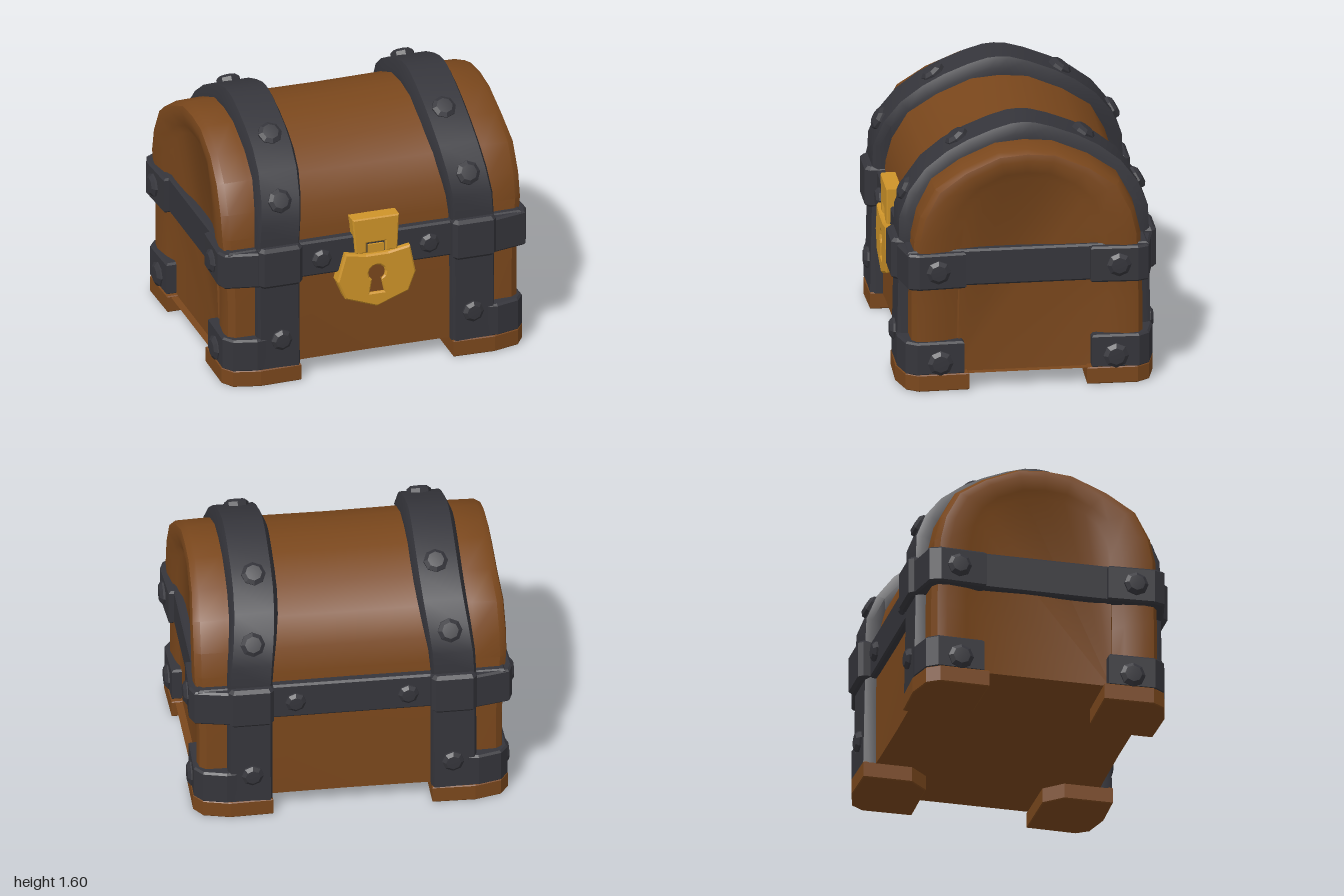
import * as THREE from 'three';
import { toCreasedNormals } from 'three/addons/utils/BufferGeometryUtils.js';

const mat = (name, color) => {
  const m = new THREE.MeshStandardMaterial({ color });
  m.name = name;
  return m;
};
const { lerp, smoothstep } = THREE.MathUtils;

// Skin closed rings of [x, y, z] points; both ends are capped.
function loft(rings, crease = 0.6) {
  const n = rings[0].length, idx = [];
  for (let i = 0; i < rings.length - 1; i++) {
    for (let j = 0; j < n; j++) {
      const k = (j + 1) % n;
      const a = i * n + j, b = a + n, c = (i + 1) * n + k, d = i * n + k;
      idx.push(a, b, c, a, c, d);
    }
  }
  const last = (rings.length - 1) * n;
  for (let j = 1; j < n - 1; j++) {
    idx.push(0, j, j + 1, last, last + j + 1, last + j);
  }
  const g = new THREE.BufferGeometry();
  g.setAttribute('position', new THREE.Float32BufferAttribute(rings.flat(2), 3));
  g.setIndex(idx);
  return toCreasedNormals(g.toNonIndexed(), crease);
}

// Upright prism from an [x, z] outline, with a small bevel.
function prism(points, y0, y1, bevel = 0.012) {
  const shape = new THREE.Shape(points.map(([x, z]) => new THREE.Vector2(x, -z)));
  const g = new THREE.ExtrudeGeometry(shape, {
    depth: y1 - y0 - 2 * bevel, bevelEnabled: true, bevelSegments: 1,
    bevelThickness: bevel, bevelSize: bevel, bevelOffset: -bevel,
  });
  return g.rotateX(-Math.PI / 2).translate(0, y0 + bevel, 0);
}

// Extend a front half profile of [z, y] over the crown to the back.
const fullArch = half => [...half, ...half.slice(0, -1).reverse().map(([z, y]) => [-z, y])];

export function createModel() {
  const wood = mat('wood', 0x7a471c);
  const iron = mat('iron', 0x35353b);
  const gold = mat('gold', 0xce9429);
  const model = new THREE.Group();
  model.name = 'chest';
  const add = (name, geometry, material) => {
    const mesh = new THREE.Mesh(geometry, material);
    mesh.name = name;
    model.add(mesh);
    return mesh;
  };

  // Wooden body and arched lid, with a shallow recessed panel in each end;
  // the ends draw in a little below the band and at the crown
  const outer = fullArch([[0.69, 0.1], [0.69, 0.55], [0.685, 0.72], [0.675, 0.95], [0.64, 1.1],
    [0.55, 1.27], [0.38, 1.385], [0.17, 1.475], [0, 1.49]]);
  const inner = fullArch([[0.42, 0.1], [0.42, 0.5], [0.41, 0.72], [0.4, 0.95], [0.38, 1.06],
    [0.33, 1.16], [0.25, 1.24], [0.12, 1.3], [0, 1.31]]);
  const section = (x, grow, t) => outer.map(([z, y], i) => {
    const oy = y > 0.8 ? 0.8 + (y - 0.8) * (1 + grow) : y;
    const drawIn = 0.03 * (1 - smoothstep(y, 0.6, 0.95)) + 0.03 * smoothstep(y, 1.2, 1.48);
    return [x * (1 - drawIn), lerp(oy, inner[i][1], t), lerp(z * (1 + grow), inner[i][0], t)];
  });
  const stations = [[0.905, 0, 1], [0.93, 0, 0.75], [0.95, 0, 0.3], [0.94, 0, 0.08],
    [0.9, 0.01, 0], [0.75, 0.015, 0], [0.4, 0, 0]];
  add('body', loft([
    ...stations.map(([x, g, t]) => section(-x, g, t)),
    section(0, -0.005, 0),
    ...stations.slice().reverse().map(([x, g, t]) => section(x, g, t)),
  ]), wood);

  // Iron straps over the lid, leaning inward towards the crown
  const strapPath = fullArch([[0.768, 0.1], [0.757, 0.65], [0.755, 0.9], [0.75, 1.05],
    [0.69, 1.2], [0.59, 1.33], [0.46, 1.43], [0.33, 1.5], [0.18, 1.56], [0.07, 1.592], [0, 1.598]]);
  for (const s of [-1, 1]) {
    const rings = strapPath.map(([z, y], i) => {
      const p = strapPath[Math.max(i - 1, 0)];
      const q = strapPath[Math.min(i + 1, strapPath.length - 1)];
      const len = Math.hypot(q[0] - p[0], q[1] - p[1]);
      const nz = (q[1] - p[1]) / len, ny = -(q[0] - p[0]) / len;
      const lean = smoothstep(y, 0.9, 1.5);
      const edges = [s * (0.48 - 0.07 * lean), s * (0.75 - 0.04 * lean)].sort((a, b) => a - b);
      const at = (x, depth) => [x, Math.max(y - ny * depth, 0.1), z - nz * depth];
      const b = 0.015 + 0.015 * lean, drop = 0.03 + 0.035 * lean;
      return [at(edges[1], 0.12), at(edges[1], drop), at(edges[1] - b, 0),
        at(edges[0] + b, 0), at(edges[0], drop), at(edges[0], 0.12)];
    });
    add('strap', loft(rings, 0.5), iron);
  }

  // Iron band around the middle
  const rect = (x0, x1, z0, z1) => [[x0, z0], [x1, z0], [x1, z1], [x0, z1]];
  add('middleBand', prism(rect(-0.928, 0.928, -0.728, 0.728), 0.66, 0.89), iron);

  // Rivets: eight-sided domes turned to face a direction
  const rivetShape = toCreasedNormals(new THREE.LatheGeometry(
    [[0.074, -0.02], [0.074, 0.012], [0.05, 0.03], [0, 0.033]].map(p => new THREE.Vector2(...p)), 8), 0.4);
  const up = new THREE.Vector3(0, 1, 0);
  const rivet = (pos, dir, size = 1) => {
    const m = add('rivet', rivetShape, iron);
    m.position.set(...pos);
    m.quaternion.setFromUnitVectors(up, new THREE.Vector3(...dir).normalize());
    m.scale.set(size, 1, size);
  };

  // Everything that repeats at the four corners
  for (const sx of [-1, 1]) {
    for (const sz of [-1, 1]) {
      const corner = pts => pts.map(([x, z]) => [x * sx, z * sz]);
      add('foot', prism(corner([[0.48, 0.47], [0.58, 0.36], [0.945, 0.355], [0.95, 0.66],
        [0.9, 0.735], [0.74, 0.777], [0.48, 0.77]]), 0.003, 0.108, 0.006), wood);
      add('cornerBracket', prism(corner([[0.7, 0.385], [0.94, 0.385], [0.947, 0.67],
        [0.9, 0.735], [0.76, 0.772], [0.7, 0.766]]), 0.1, 0.31), iron);
      add('bandCorner', prism(corner([[0.5, 0.375], [0.96, 0.375], [0.975, 0.66],
        [0.95, 0.725], [0.74, 0.77], [0.5, 0.77]]), 0.655, 0.882), iron);
      add('bandCrossing', prism(corner([[0.475, 0.6], [0.75, 0.6], [0.75, 0.77],
        [0.725, 0.8], [0.5, 0.8], [0.475, 0.77]]), 0.65, 0.91, 0.02), iron);

      rivet([0.34 * sx, 0.77, 0.728 * sz], [0, 0, sz], 0.85);
      rivet([0.605 * sx, 0.29, 0.765 * sz], [0, 0, sz], 0.9);
      rivet([0.595 * sx, 1.18, 0.7 * sz], [0, 0.5, 0.86 * sz]);
      rivet([0.55 * sx, 1.475, 0.385 * sz], [0, 0.8, 0.6 * sz]);
      rivet([0.967 * sx, 0.77, 0.545 * sz], [sx, 0, 0]);
      rivet([0.94 * sx, 0.18, 0.53 * sz], [sx, 0, 0], 1.05);
    }
  }

  // Gold lock with a keyhole cut through it
  const outline = pts => new THREE.Shape(pts.map(p => new THREE.Vector2(...p)));
  const plate = (shape, z0, z1, bevel) => new THREE.ExtrudeGeometry(shape, {
    depth: z1 - z0 - bevel, bevelEnabled: true, bevelSegments: 1, curveSegments: 5,
    bevelThickness: bevel, bevelSize: bevel, bevelOffset: -bevel,
  }).translate(0, 0, z0);
  const lock = outline([[-0.2, 0.79], [-0.25, 0.61], [-0.2, 0.49], [0, 0.415],
    [0.2, 0.49], [0.245, 0.61], [0.21, 0.79], [0.07, 0.765], [-0.07, 0.765]]);
  const keyhole = new THREE.Path();
  keyhole.moveTo(-0.045, 0.51);
  keyhole.lineTo(0.045, 0.51);
  keyhole.lineTo(0.025, 0.605);
  keyhole.absarc(0, 0.638, 0.053, -0.95, Math.PI + 0.95, false);
  keyhole.closePath();
  lock.holes.push(keyhole);
  add('lockBody', plate(lock, 0.67, 0.767, 0.01), gold);
  add('keyholeBack', new THREE.BoxGeometry(0.16, 0.22, 0.008).translate(0, 0.6, 0.745), wood);

  // Hasp hanging from the lid, notched around a staple
  add('hasp', plate(outline([[-0.15, 1.0], [-0.13, 0.77], [-0.06, 0.77], [-0.06, 0.835],
    [0.06, 0.835], [0.06, 0.77], [0.135, 0.77], [0.145, 1.0]]), 0.64, 0.75, 0.008), gold);
  add('staple', new THREE.BoxGeometry(0.1, 0.06, 0.1).translate(0, 0.79, 0.69), gold);

  return model;
}
